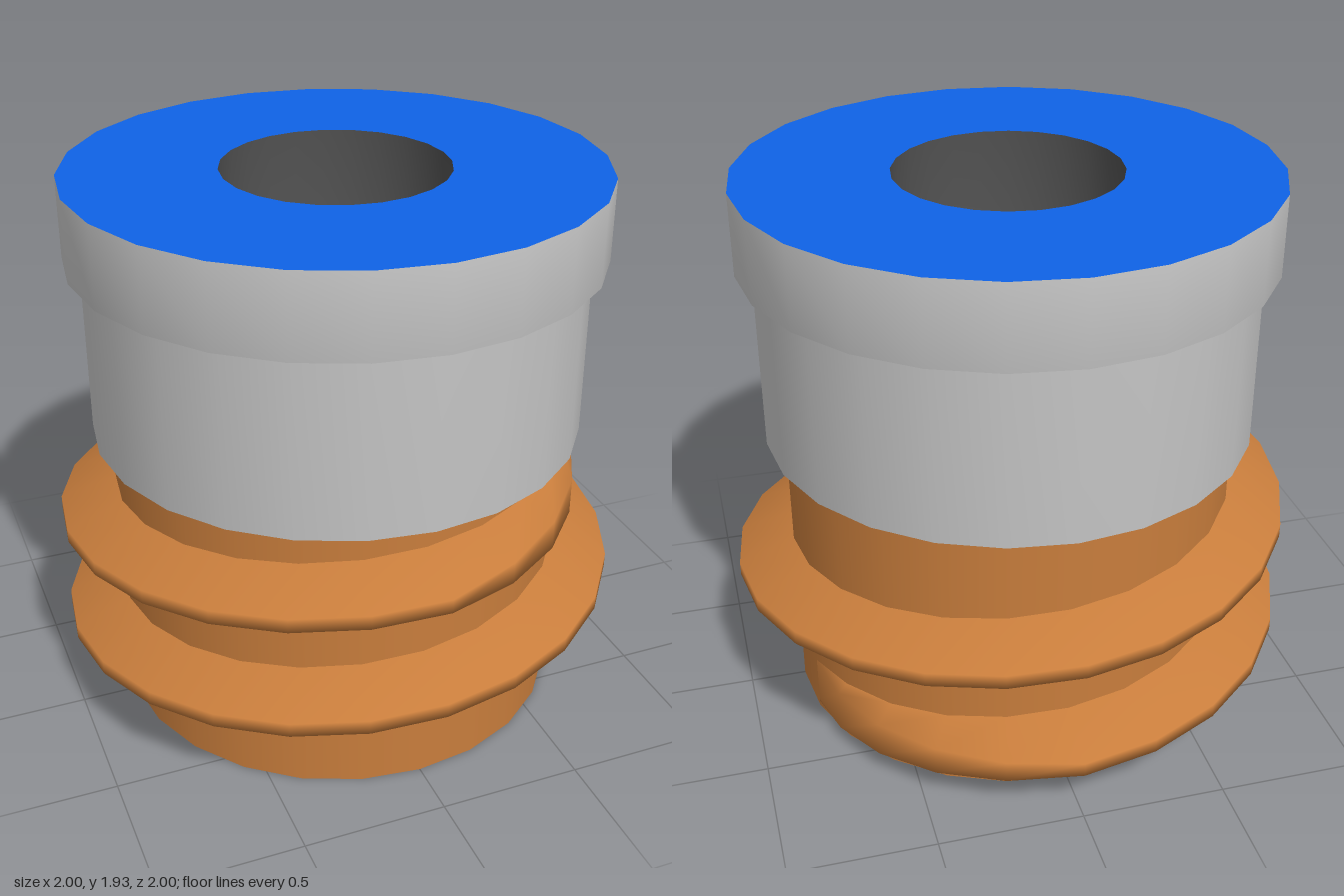
import * as THREE from 'three';

const SIDES = 24;
const CORE_R = 0.8;
const RIM_R = 0.92;
const BORE_R = 0.39;
const TOP = 1.935;
const BORE_FLOOR = 1.0;

const grey = new THREE.MeshStandardMaterial({ color: 0xcccccc });
const darkGrey = new THREE.MeshStandardMaterial({ color: 0x505050 });
const orange = new THREE.MeshStandardMaterial({ color: 0xc87d3c, side: THREE.DoubleSide });
const blue = new THREE.MeshStandardMaterial({ color: 0x0f62e6 });

// Profile of [radius, height] pairs turned smoothly round the vertical axis
function turned(profile) {
  return new THREE.LatheGeometry(profile.map(([r, y]) => new THREE.Vector2(r, y)), SIDES);
}

// Helical ridge: flush with the core at each end, growing into a sharp crest
function threadGeometry() {
  const first = 15, last = 705, step = 360 / SIDES, ramp = 75;
  const count = (last - first) / step;
  const positions = [], index = [];
  for (let i = 0; i <= count; i++) {
    const deg = first + i * step;
    const a = THREE.MathUtils.degToRad(deg);
    const swell = Math.min(1, (deg - first) / ramp, (last - deg) / ramp);
    const crestR = CORE_R + 0.2 * swell;
    const crestH = THREE.MathUtils.lerp(0.09, 0.025, swell);
    const yMid = 0.1025 * (1 + deg / 90);
    const section = [[CORE_R, -0.1], [crestR, -crestH], [crestR, crestH], [CORE_R, 0.1]];
    for (const [r, dy] of section) {
      positions.push(r * Math.cos(a), yMid + dy, -r * Math.sin(a));
    }
    if (i === count) continue;
    for (let j = 0; j < 3; j++) {
      const p = i * 4 + j, q = p + 4;
      index.push(p, q, q + 1, p, q + 1, p + 1);
    }
  }
  const geometry = new THREE.BufferGeometry();
  geometry.setAttribute('position', new THREE.Float32BufferAttribute(positions, 3));
  geometry.setIndex(index);
  geometry.computeVertexNormals();
  return geometry;
}

export function createModel() {
  const model = new THREE.Group();
  model.name = 'threadedCap';

  const add = (name, geometry, material) => {
    const mesh = new THREE.Mesh(geometry, material);
    mesh.name = name;
    model.add(mesh);
  };

  // Threaded lower body
  add('core', turned([[CORE_R, 0], [CORE_R, 1.015]]), orange);
  add('thread', threadGeometry(), orange);
  add('base', new THREE.CircleGeometry(CORE_R, SIDES).rotateX(Math.PI / 2), grey);

  // Collar stepping out to a wider rim, shaded as one smooth skin
  add('collar', turned([
    [CORE_R, 1.015], [0.865, 1.015], [0.865, 1.65], [RIM_R, 1.65], [RIM_R, TOP],
  ]), grey);

  // Flat top face around a deep blind bore
  add('topFace', turned([[RIM_R, TOP], [BORE_R, TOP]]), blue);
  add('bore', turned([[BORE_R, TOP], [BORE_R, BORE_FLOOR], [0, BORE_FLOOR]]), darkGrey);

  return model;
}
